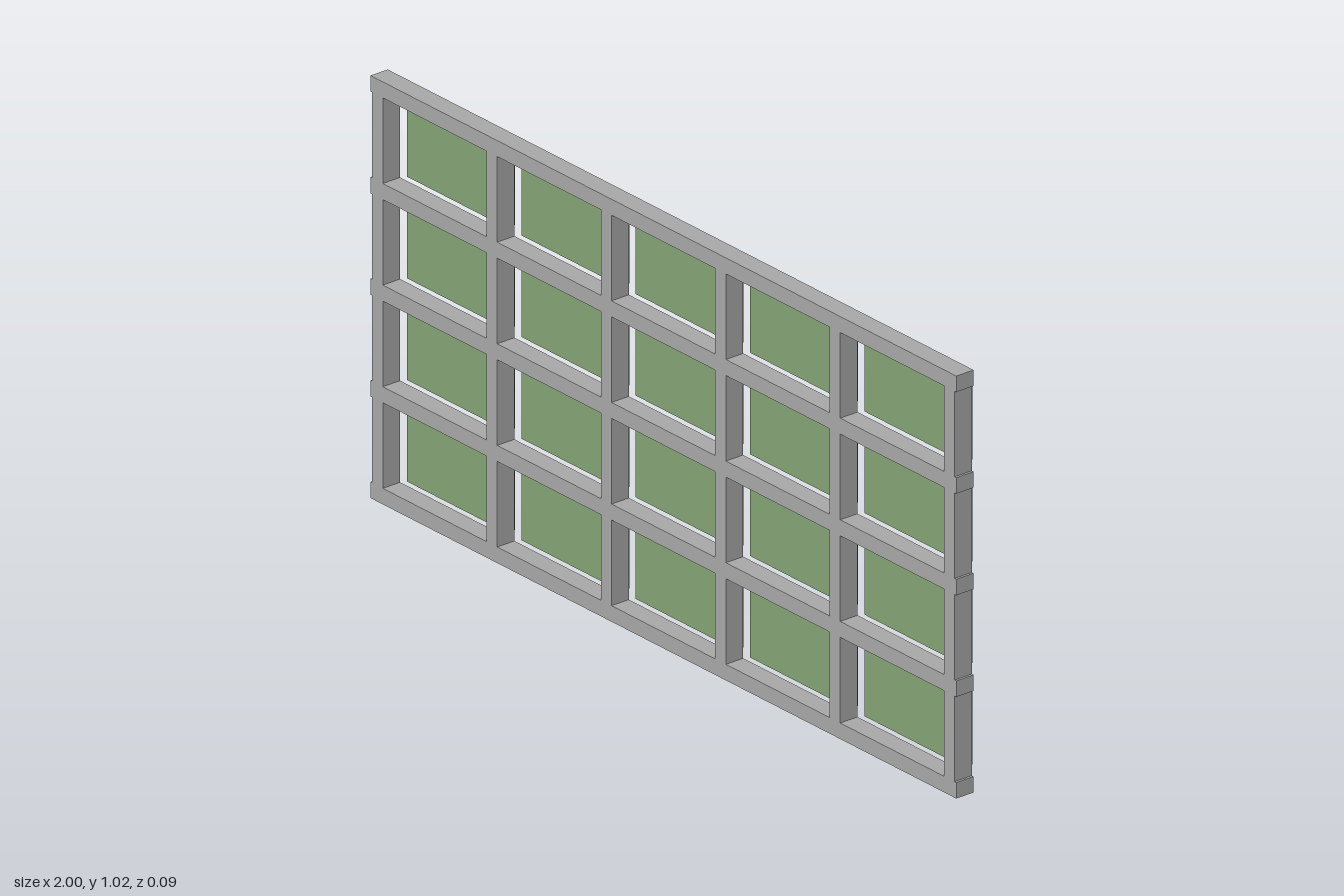
import * as THREE from 'three';

export function createModel() {
  const model = new THREE.Group();
  const frameGrey = new THREE.MeshStandardMaterial({ color: 0xaaaaaa });
  frameGrey.name = 'frame grey';
  const panelGreen = new THREE.MeshStandardMaterial({ color: 0x86a676 });
  panelGreen.name = 'panel green';

  const cols = 5, rows = 4;
  const stepX = 0.3904, stepY = 0.2443;
  const bar = 0.0385, postWidth = 0.0365;
  const frameDepth = 0.049, frameZ = 0.0185;
  const panelDepth = 0.023, panelZ = -0.0315;

  function box(name, w, h, d, x, y, z, material) {
    const mesh = new THREE.Mesh(new THREE.BoxGeometry(w, h, d), material);
    mesh.name = name;
    mesh.position.set(x, y, z);
    model.add(mesh);
  }

  // Full-width rails, slightly overhanging the outer posts
  for (let r = 0; r <= rows; r++) {
    box('rail', 2, bar, frameDepth, 0, bar / 2 + r * stepY, frameZ, frameGrey);
  }

  for (let r = 0; r < rows; r++) {
    const y = bar / 2 + (r + 0.5) * stepY;
    const openingHeight = stepY - bar;

    // Upright posts between neighbouring rails
    for (let c = 0; c <= cols; c++) {
      box('post', postWidth, openingHeight, frameDepth, (c - cols / 2) * stepX, y, frameZ, frameGrey);
    }

    // Panels floating just behind each opening
    for (let c = 0; c < cols; c++) {
      box('panel', 0.341, openingHeight, panelDepth, (c - (cols - 1) / 2) * stepX, y, panelZ, panelGreen);
    }
  }
  return model;
}
